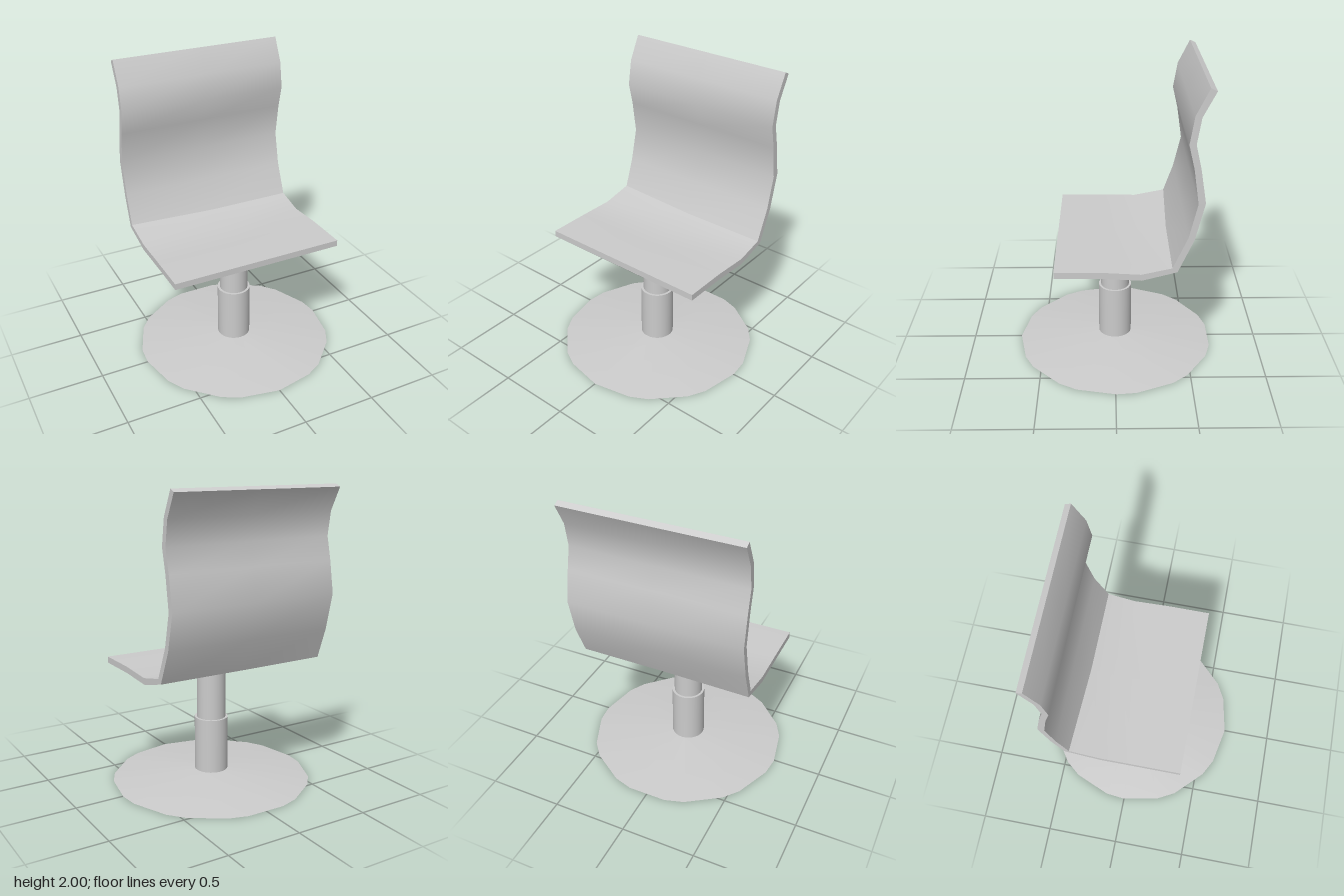
import * as THREE from 'three';
import { toCreasedNormals } from 'three/addons/utils/BufferGeometryUtils.js';

const material = new THREE.MeshStandardMaterial({ color: 0xcccccc });

function addMesh(group, name, geometry) {
  const mesh = new THREE.Mesh(geometry, material);
  mesh.name = name;
  group.add(mesh);
  return mesh;
}

// Solid skin over matching closed loops of [x, y, z], capped at both ends.
function loft(sections) {
  const n = sections[0].length;
  const last = (sections.length - 1) * n;
  const index = [];
  for (let s = 0; s < last; s += n) {
    for (let i = 0; i < n; i++) {
      const a = s + i, b = s + (i + 1) % n, c = b + n, d = a + n;
      index.push(a, d, c, a, c, b);
    }
  }
  // Caps are strips joining each loop point to the one opposite
  for (let i = 0; i < n / 2 - 1; i++) {
    const a = i, b = i + 1, c = n - 2 - i, d = n - 1 - i;
    index.push(a, b, d, last + a, last + d, last + b);
    if (b !== c) index.push(b, c, d, last + b, last + d, last + c);
  }
  const geometry = new THREE.BufferGeometry();
  geometry.setAttribute('position', new THREE.Float32BufferAttribute(sections.flat(2), 3));
  geometry.setIndex(index);
  return toCreasedNormals(geometry, 0.6);
}

// Seat and back as one bent sheet; each row is [top z, top y, under z, under y]
function seatSection(x, bend, crease) {
  const rows = [
    [0.38, 0.845, 0.38, 0.803],
    [0.09, 0.845, 0.09, 0.803],
    bend,
    crease,
    [-0.435, 1.08, -0.472, 1.065],
    [-0.485, 1.3, -0.528, 1.305],
    [-0.452, 1.52, -0.492, 1.52],
    [-0.416, 1.67, -0.457, 1.67],
    [-0.443, 1.84, -0.482, 1.83],
    [-0.522, 2.0, -0.56, 1.982],
  ];
  const front = rows.map(([z, y]) => [x, y, z]);
  const rear = rows.map(([, , z, y]) => [x, y, z]).reverse();
  return [...front, ...rear];
}

export function createModel() {
  const model = new THREE.Group();
  model.name = 'swivelChair';

  // Shallow conical foot with an uneven many-sided rim
  const half = [2, 3, 5, 6, 8, 9, 11, 12, 14, 15];
  const steps = [0, ...half, ...half.map((k) => -k).reverse()];
  const ring = (radius, y) => steps.map((k) => {
    const angle = k * Math.PI / 16;
    return [-radius * Math.sin(angle), y, radius * Math.cos(angle) - 0.005];
  });
  addMesh(model, 'base', loft([ring(0.673, 0), ring(0.1, 0.062)]));

  // Telescopic column
  const tube = (name, radius, bottom, top) => {
    const mesh = addMesh(model, name, new THREE.CylinderGeometry(radius, radius, top - bottom, 32));
    mesh.position.set(-0.003, (bottom + top) / 2, -0.003);
  };
  tube('lowerColumn', 0.113, 0.05, 0.433);
  tube('upperColumn', 0.097, 0.42, 0.815);

  // The model's right edge is slightly raised at the crease
  const bend = [-0.155, 0.83, -0.16, 0.788];
  const crease = [-0.345, 0.873, -0.377, 0.846];
  addMesh(model, 'seatAndBack', loft([
    seatSection(-0.595, [-0.155, 0.842, -0.16, 0.8], [-0.368, 0.885, -0.397, 0.856]),
    seatSection(0, bend, crease),
    seatSection(0.58, bend, crease),
  ]));

  return model;
}
